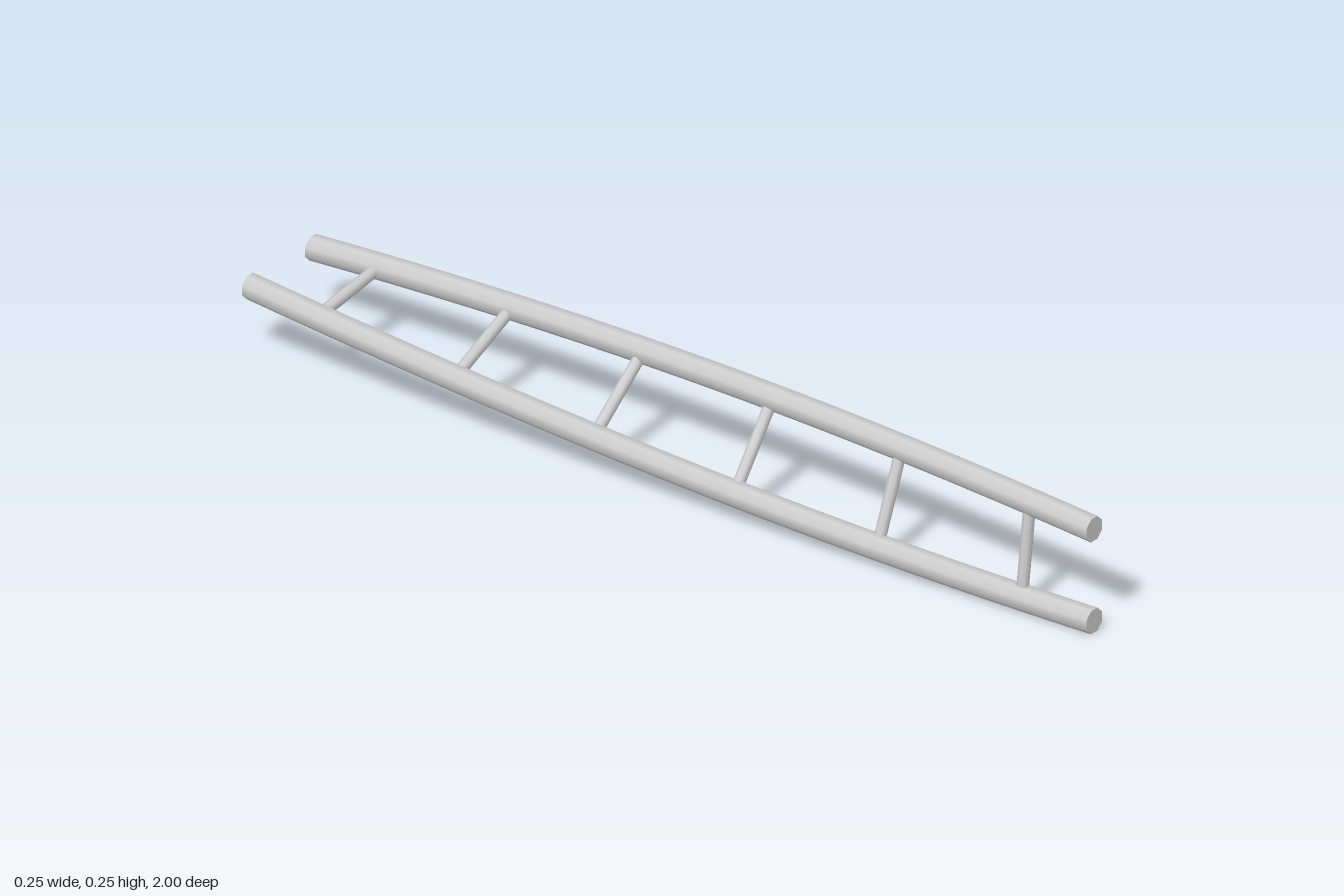
import * as THREE from 'three';

const AXIS_X = 0.0015, AXIS_Y = 0.1255, RADIUS = 0.1035;
const RAIL_R = 0.0271, RUNG_R = 0.0125;
const SKEW = THREE.MathUtils.degToRad(13.7);

// Centre of a rail at depth z: a quarter turn over the full length
function railPoint(startAngle, z) {
  const a = startAngle + (z + 1) * Math.PI / 4;
  return new THREE.Vector3(AXIS_X + RADIUS * Math.cos(a), AXIS_Y + RADIUS * Math.sin(a), z);
}

// Eight-sided rod along z, each ring shifted onto the helix
function railGeometry(startAngle) {
  const geo = new THREE.CylinderGeometry(RAIL_R, RAIL_R, 2, 8, 24, false, Math.PI / 8);
  geo.rotateX(Math.PI / 2);
  const pos = geo.attributes.position;
  for (let i = 0; i < pos.count; i++) {
    const c = railPoint(startAngle, pos.getZ(i));
    pos.setXY(i, pos.getX(i) + c.x, pos.getY(i) + c.y);
  }
  return geo;
}

export function createModel() {
  const group = new THREE.Group();
  group.name = 'twistedLadder';
  const material = new THREE.MeshStandardMaterial({ color: 0xcccccc });
  const add = (geo, name) => {
    const mesh = new THREE.Mesh(geo, material);
    mesh.name = name;
    group.add(mesh);
    return mesh;
  };

  // Rails
  const upper = SKEW, lower = Math.PI - SKEW;
  add(railGeometry(upper), 'upperRail');
  add(railGeometry(lower), 'lowerRail');

  // Rungs, evenly spaced, from rail centre to rail centre
  const up = new THREE.Vector3(0, 1, 0);
  for (let i = 0; i < 6; i++) {
    const z = 1 - (i + 0.5) / 3;
    const a = railPoint(lower, z), b = railPoint(upper, z);
    const span = b.clone().sub(a);
    const rung = add(new THREE.CylinderGeometry(RUNG_R, RUNG_R, span.length(), 8), `rung${i + 1}`);
    rung.position.copy(a).add(b).multiplyScalar(0.5);
    rung.quaternion.setFromUnitVectors(up, span.normalize());
  }
  return group;
}
